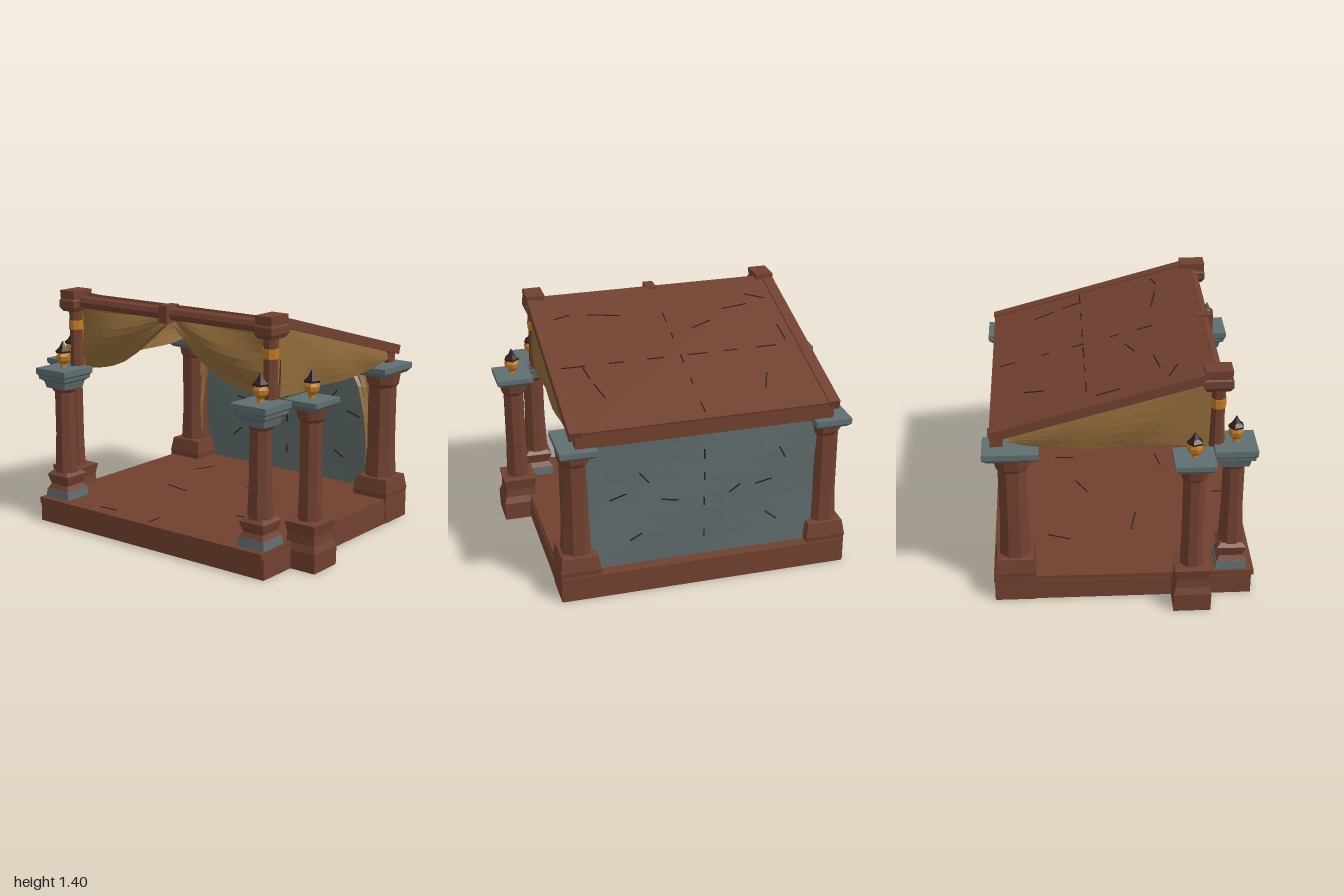
import * as THREE from 'three';

const make = (name, color, side = THREE.FrontSide) => {
  const m = new THREE.MeshStandardMaterial({ color, side, flatShading: true });
  m.name = name;
  return m;
};

export function createModel() {
  const wood = make('red brown wood', 0x70402f);
  const slate = make('slate', 0x5f6e70);
  const backCloth = make('slate cloth', 0x5f6b6b, THREE.DoubleSide);
  const cloth = make('gold cloth', 0x8f6a39, THREE.DoubleSide);
  const orange = make('orange', 0xc07a22);
  const dark = make('dark brown', 0x2e1d19);
  const board = make('rust board', 0x743b28);

  const model = new THREE.Group();
  model.name = 'pavilion';

  const add = (parent, name, geo, mat, x = 0, y = 0, z = 0) => {
    const m = new THREE.Mesh(geo, mat);
    m.name = name;
    m.position.set(x, y, z);
    parent.add(m);
    return m;
  };
  const box = (parent, name, mat, w, h, d, x, y, z) =>
    add(parent, name, new THREE.BoxGeometry(w, h, d), mat, x, y, z);
  // Closed prism from [half width, height] pairs; 4 sides gives a square block
  const turned = (parent, name, mat, sides, profile, x = 0, z = 0) => {
    const k = 1 / Math.cos(Math.PI / sides);
    const pts = profile.map(([r, y]) => new THREE.Vector2(r * k, y));
    pts.unshift(new THREE.Vector2(0, pts[0].y));
    pts.push(new THREE.Vector2(0, pts[pts.length - 1].y));
    const geo = new THREE.LatheGeometry(pts, sides, Math.PI / sides);
    return add(parent, name, geo, mat, x, 0, z);
  };
  // Sheet over a (u, v) grid, fn returns [x, y, z]
  const sheet = (parent, name, mat, nu, nv, fn) => {
    const geo = new THREE.PlaneGeometry(1, 1, nu, nv);
    const p = geo.attributes.position;
    for (let i = 0; i < p.count; i++) p.setXYZ(i, ...fn(p.getX(i) + 0.5, p.getY(i) + 0.5));
    geo.computeVertexNormals();
    return add(parent, name, geo, mat);
  };
  // Interpolates evenly spaced values
  const along = (vals, t) => {
    const f = Math.min(t * (vals.length - 1), vals.length - 1.0001);
    const i = Math.floor(f);
    return vals[i] + (vals[i + 1] - vals[i]) * (f - i);
  };
  const mix = THREE.MathUtils.lerp;

  // Floor with a slightly wider lip
  box(model, 'floorBase', wood, 1.68, 0.12, 1.46, 0, 0.06, 0.01);
  box(model, 'floorLip', wood, 1.67, 0.035, 1.48, 0, 0.1325, 0.015);

  const finial = (parent, x, z) => {
    turned(parent, 'finialBall', orange, 7,
      [[0.018, 0.93], [0.016, 0.965], [0.036, 0.99], [0.04, 1.015], [0.03, 1.04]], x, z);
    turned(parent, 'finialTip', dark, 5,
      [[0.034, 1.035], [0.038, 1.047], [0.02, 1.065], [0.002, 1.105]], x, z);
  };

  for (const s of [-1, 1]) {
    const side = s > 0 ? 'left' : 'right';

    // Front columns with deep square capitals
    const front = new THREE.Group();
    front.name = side + 'FrontColumn';
    model.add(front);
    const fx = s * 0.73, fz = 0.625;
    turned(front, 'plinth', slate, 4, [[0.09, 0.145], [0.085, 0.2]], fx, fz);
    turned(front, 'columnFoot', wood, 4,
      [[0.085, 0.195], [0.066, 0.23], [0.075, 0.26], [0.082, 0.29], [0.062, 0.31]], fx, fz);
    turned(front, 'shaft', wood, 8,
      [[0.066, 0.25], [0.066, 0.33], [0.058, 0.55], [0.058, 0.8], [0.072, 0.82], [0.068, 0.86]], fx, fz);
    turned(front, 'capital', slate, 4,
      [[0.075, 0.825], [0.085, 0.865], [0.106, 0.88], [0.108, 0.9], [0.118, 0.91], [0.118, 0.945]], fx, fz);
    finial(front, fx, fz + 0.005);

    // Side columns on projecting blocks
    const outer = new THREE.Group();
    outer.name = side + 'SideColumn';
    model.add(outer);
    const ox = s * 0.893, oz = 0.388;
    turned(outer, 'block', wood, 4,
      [[0.105, 0], [0.107, 0.11], [0.092, 0.15], [0.088, 0.2], [0.1, 0.265], [0.07, 0.27]], ox, oz);
    turned(outer, 'shaft', wood, 8,
      [[0.064, 0.26], [0.058, 0.45], [0.057, 0.82], [0.072, 0.84], [0.08, 0.89], [0.08, 0.91]], ox, oz);
    const slab = turned(outer, 'capital', slate, 4,
      [[0.085, 0.895], [0.112, 0.92], [0.112, 0.948]], ox, oz);
    slab.scale.x = 0.96;
    finial(outer, ox, oz);

    // Thick rear columns
    const rear = new THREE.Group();
    rear.name = side + 'RearColumn';
    model.add(rear);
    const rx = s * 0.73, rz = -0.6;
    turned(rear, 'base', wood, 4,
      [[0.115, 0], [0.115, 0.16], [0.118, 0.18], [0.104, 0.265], [0.08, 0.27]], rx, rz);
    turned(rear, 'shaft', wood, 8,
      [[0.088, 0.26], [0.078, 0.45], [0.078, 0.82], [0.09, 0.84], [0.1, 0.91]], rx, rz);
    const cap = turned(rear, 'capital', slate, 4,
      [[0.085, 0.895], [0.105, 0.92], [0.105, 0.952]], rx, rz - 0.005);
    cap.scale.z = 1.48;

    // Tall posts that carry the front of the roof
    const post = new THREE.Group();
    post.name = side + 'RoofPost';
    model.add(post);
    turned(post, 'postShaft', wood, 8, [[0.042, 0.92], [0.036, 1.1], [0.04, 1.31]], s * 0.72, 0.525);
    turned(post, 'postBand', orange, 8, [[0.042, 1.165], [0.042, 1.22]], s * 0.72, 0.525);
    const head = turned(post, 'postHead', wood, 4,
      [[0.045, 1.275], [0.058, 1.3], [0.058, 1.34], [0.053, 1.35], [0.055, 1.4]], s * 0.72, 0.52);
    head.scale.z = 1.38;

    // Front curtain, gathered from the beam centre to the post
    const hem = [1.27, 1.17, 1.08, 1.01, 0.965, 0.94, 0.925];
    sheet(model, side + 'FrontCurtain', cloth, 14, 8, (u, v) => [
      s * mix(0.01, 0.685, u),
      mix(along(hem, u), 1.325, v),
      0.5 + 0.05 * Math.sin(Math.PI * Math.min(1, v * 1.1)) * Math.sin(Math.PI * u)
        + 0.014 * Math.sin(v * 9 + u * 5) * (1 - v),
    ]);
    // Loose gathers hanging beside the post
    sheet(model, side + 'CurtainGather', cloth, 6, 5, (u, v) => [
      s * (0.64 + 0.1 * u * mix(0.8, 1, v)),
      mix(0.9 + 0.04 * Math.sin(u * 7), 1.3, v),
      0.47 + 0.018 * Math.cos(u * 15),
    ]);

    // Side awning under the sloping roof edge
    const sideHem = [0.945, 0.94, 0.94, 0.937, 0.935, 0.94, 0.985];
    sheet(model, side + 'SideCurtain', cloth, 14, 6, (u, v) => {
      const z = mix(0.475, -0.62, u);
      return [
        s * (0.745 + 0.02 * Math.sin(Math.PI * v) * Math.sin(Math.PI * u) + 0.008 * Math.sin(u * 14 + v * 4) * (1 - v)),
        mix(along(sideHem, u), 1.225 + 0.277 * z, v), z];
    });

    // Tied-back drape in front of the rear cloth
    const inner = [0.64, 0.645, 0.64, 0.62, 0.575, 0.47];
    sheet(model, side + 'RearDrape', cloth, 10, 10, (u, v) => [
      s * mix(along(inner, v), 0.68, u),
      mix(0.16, 0.96, v),
      -0.57 + 0.016 * Math.sin(u * 19) * (0.4 + v * 0.6),
    ]);

    // Hooks holding the board
    turned(model, side + 'Hook', orange, 6,
      [[0.004, 0.885], [0.014, 0.905], [0.012, 0.925], [0.006, 0.945]], s * 0.195, -0.615);
    turned(model, side + 'HookTop', dark, 5, [[0.013, 0.925], [0.004, 0.965]], s * 0.195, -0.615);
  }

  // Rear cloth wall and hanging board
  sheet(model, 'rearCloth', backCloth, 12, 8, (u, v) => [
    mix(-0.68, 0.68, u), mix(0.14, 0.97, v),
    -0.655 + 0.012 * Math.sin(u * 7 + v * 3) * Math.sin(Math.PI * v),
  ]);
  box(model, 'hangingBoard', board, 0.455, 0.24, 0.02, -0.005, 0.835, -0.625);

  // Roof beams across the width
  const beam = add(model, 'frontBeam', new THREE.CylinderGeometry(0.038, 0.038, 1.38, 8), wood, 0, 1.332, 0.515);
  beam.rotation.z = Math.PI / 2;
  box(model, 'beamBracket', wood, 0.06, 0.1, 0.11, 0, 1.33, 0.515);
  box(model, 'rearBeam', wood, 1.48, 0.085, 0.07, 0, 0.99, -0.68);

  // Sloping roof, built flat and tilted
  const roof = new THREE.Group();
  roof.name = 'roof';
  roof.position.set(0, 1.195, -0.11);
  roof.rotation.x = -0.27;
  model.add(roof);
  box(roof, 'roofPanel', wood, 1.46, 0.035, 1.25, 0, 0, 0);
  for (const s of [-1, 1]) {
    box(roof, 'sideBeam', wood, 0.065, 0.055, 1.22, s * 0.74, 0, -0.02);
  }
  for (const x of [-0.4, 0, 0.4]) box(roof, 'rafter', wood, 0.045, 0.04, 1.2, x, -0.035, 0);

  // Thin dark cracks: [x, z, length, turn]
  const crack = (parent, y, list) => {
    for (const [x, z, len, turn] of list) {
      box(parent, 'crack', dark, len, 0.004, 0.007, x, y, z).rotation.y = turn;
    }
  };
  const q = Math.PI / 2;
  crack(roof, 0.0185, [
    [0, -0.53, 0.09, q], [0, -0.3, 0.05, q], [0, -0.1, 0.07, q], [0, 0.12, 0.05, q], [0, 0.3, 0.09, q],
    [-0.52, -0.07, 0.12, 0], [-0.3, -0.07, 0.08, 0], [-0.1, -0.07, 0.12, 0], [0.15, -0.07, 0.1, 0],
    [0.38, -0.07, 0.09, 0], [0.63, -0.07, 0.14, 0], [-0.42, -0.37, 0.13, 1.2], [0.53, -0.3, 0.13, -1.3],
    [0.57, -0.13, 0.11, -1.4], [-0.65, 0.05, 0.14, 1.6], [-0.2, 0.2, 0.13, 0.4], [-0.45, 0.34, 0.16, 0.15],
    [0.35, 0.38, 0.2, -0.2], [0.6, 0.4, 0.1, 0.3], [-0.6, 0.42, 0.13, -0.5],
  ]);
  crack(model, 0.151, [
    [0, 0.66, 0.1, q], [-0.35, 0.67, 0.12, 0.1], [0.4, 0.3, 0.15, 0.2], [-0.3, 0.1, 0.18, -0.2],
    [0.1, -0.2, 0.15, 0.5], [-0.45, -0.35, 0.14, 1.2], [0.45, -0.3, 0.12, q],
  ]);
  // Creases on both faces of the rear cloth
  for (const [x, y, len, turn] of [
    [0, 0.8, 0.06, q], [0, 0.66, 0.05, q], [0, 0.5, 0.05, q], [0, 0.3, 0.06, q], [-0.35, 0.58, 0.1, -0.2],
    [0.2, 0.54, 0.1, 0.2], [-0.18, 0.56, 0.08, -0.6], [0.35, 0.7, 0.09, 0.9], [-0.4, 0.35, 0.09, 0.7],
    [0.4, 0.33, 0.08, -0.5], [0.5, 0.6, 0.1, -0.3], [-0.46, 0.75, 0.08, 1.1],
  ]) {
    for (const z of [-0.64, -0.67]) box(model, 'clothCrease', dark, len, 0.007, 0.004, x, y, z).rotation.z = turn;
  }
  return model;
}
